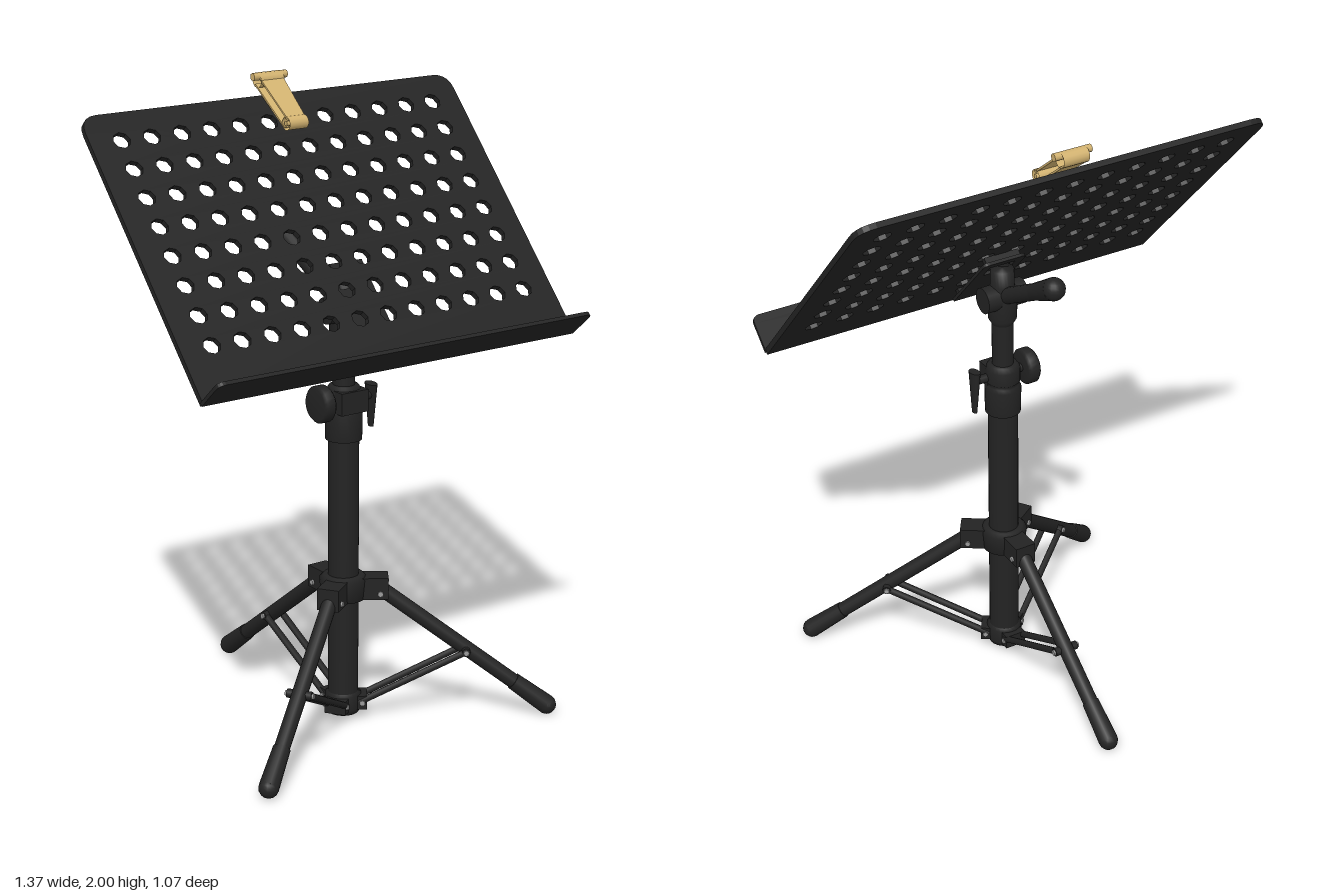
import * as THREE from 'three';

const black = new THREE.MeshStandardMaterial({ color: 0x232323, side: THREE.DoubleSide });
black.name = 'matte black';
const gold = new THREE.MeshStandardMaterial({ color: 0xd2b270, side: THREE.DoubleSide });
gold.name = 'pale brass';
const steel = new THREE.MeshStandardMaterial({ color: 0x9a9a9a });
steel.name = 'bolt steel';

const POLE_Z = 0.135;
const V = (x, y, z) => new THREE.Vector3(x, y, z);

function add(parent, name, geometry, material = black, pos = [0, 0, 0]) {
  const mesh = new THREE.Mesh(geometry, material);
  mesh.name = name;
  mesh.position.set(...pos);
  parent.add(mesh);
  return mesh;
}

// Round bar from a to b
function rod(parent, name, a, b, ra, rb = ra, material = black, sides = 16) {
  const mesh = add(parent, name, new THREE.CylinderGeometry(rb, ra, a.distanceTo(b), sides), material);
  mesh.position.copy(a).lerp(b, 0.5);
  mesh.quaternion.setFromUnitVectors(V(0, 1, 0), b.clone().sub(a).normalize());
  return mesh;
}

// Turned part from [radius, height] points
function turned(parent, name, points, pos = [0, 0, 0]) {
  return add(parent, name, new THREE.LatheGeometry(points.map(p => new THREE.Vector2(...p)), 24), black, pos);
}

// Plate outline with rounded far corners
function plateShape(halfWidth, length, r) {
  const s = new THREE.Shape();
  s.moveTo(-halfWidth, 0);
  s.lineTo(halfWidth, 0);
  s.lineTo(halfWidth, length - r);
  s.quadraticCurveTo(halfWidth, length, halfWidth - r, length);
  s.lineTo(-halfWidth + r, length);
  s.quadraticCurveTo(-halfWidth, length, -halfWidth, length - r);
  s.closePath();
  return s;
}

const extrude = (shape, depth) =>
  new THREE.ExtrudeGeometry(shape, { depth, bevelEnabled: false, curveSegments: 5 });

function makeDesk() {
  const desk = new THREE.Group();
  desk.name = 'desk';
  desk.position.set(0, 1.205, 0.395);
  desk.rotation.x = -0.735;

  // Perforated board
  const board = plateShape(0.685, 0.965, 0.06);
  for (let row = 0; row < 8; row++) {
    for (let col = 0; col < 12; col++) {
      const hole = new THREE.Path();
      const x = (col - 5.5) * 0.105, y = 0.17 + row * 0.1;
      for (let i = 0; i < 8; i++) {
        const a = -i * Math.PI / 4;
        const px = x + 0.029 * Math.cos(a), py = y + 0.027 * Math.sin(a);
        if (i) hole.lineTo(px, py); else hole.moveTo(px, py);
      }
      hole.closePath();
      board.holes.push(hole);
    }
  }
  add(desk, 'perforatedBoard', extrude(board, 0.018), black, [0, 0, -0.009]);

  // Ledge standing out from the lower edge
  const ledge = add(desk, 'ledge', extrude(plateShape(0.687, 0.12, 0.025), 0.012), black, [0, 0.006, 0]);
  ledge.rotation.x = Math.PI / 2;

  // Mounting bracket behind the board
  const bracket = plateShape(0.075, 0.29, 0.02);
  const slot = new THREE.Path();
  slot.moveTo(-0.045, 0.2);
  slot.lineTo(-0.045, 0.26);
  slot.lineTo(0.045, 0.26);
  slot.lineTo(0.045, 0.2);
  slot.closePath();
  bracket.holes.push(slot);
  add(desk, 'bracketPlate', extrude(bracket, 0.01), black, [0, 0.09, -0.038]);
  for (const y of [0.11, 0.36]) {
    add(desk, 'bracketSpacer', new THREE.BoxGeometry(0.12, 0.02, 0.025), black, [0, y, -0.02]);
  }
  return desk;
}

function makeClip() {
  const clip = new THREE.Group();
  clip.name = 'pageClip';
  const top = V(0, 1.972, -0.262), low = V(0, 1.858, -0.118);
  const along = low.clone().sub(top), length = along.length();
  clip.position.copy(top);
  clip.rotation.x = Math.atan2(-along.y, along.z);

  // Rolled ends
  for (const [z, r, width] of [[0, 0.024, 0.086], [length, 0.021, 0.07]]) {
    const roll = add(clip, 'rolledEnd', new THREE.CylinderGeometry(r, r, width, 14, 1, true), gold, [0, 0, z]);
    roll.rotation.z = Math.PI / 2;
  }
  rod(clip, 'hingePin', V(-0.062, 0.012, -0.004), V(0.062, 0.012, -0.004), 0.012, 0.012, gold, 10);
  rod(clip, 'jawPin', V(-0.036, 0, length), V(0.036, 0, length), 0.008, 0.008, gold, 8);

  // Tapered upper and lower leaves
  for (const y of [0.016, -0.016]) {
    const leaf = new THREE.Shape();
    leaf.moveTo(-0.042, 0);
    leaf.lineTo(0.042, 0);
    leaf.lineTo(0.033, length);
    leaf.lineTo(-0.033, length);
    const mesh = add(clip, 'leaf', extrude(leaf, 0.006), gold, [0, y, 0]);
    mesh.rotation.x = Math.PI / 2;
  }
  return clip;
}

function makeTripod() {
  const tripod = new THREE.Group();
  tripod.name = 'tripod';
  tripod.position.z = POLE_Z;

  turned(tripod, 'legCollar', [[0.045, 0.395], [0.07, 0.4], [0.075, 0.465], [0.062, 0.478], [0.045, 0.478]]);
  turned(tripod, 'baseCollar', [[0, 0.015], [0.05, 0.018], [0.057, 0.035], [0.057, 0.08], [0.045, 0.09]]);

  for (const angle of [0.975, -0.975, Math.PI]) {
    const leg = new THREE.Group();
    leg.name = 'leg';
    leg.rotation.y = angle;
    tripod.add(leg);

    // Hinge lug, leg tube and rubber foot
    add(leg, 'hingeLug', new THREE.BoxGeometry(0.07, 0.07, 0.1), black, [0, 0.436, 0.09]);
    const top = V(0, 0.432, 0.11), foot = V(0, 0.03, 0.645);
    rod(leg, 'legTube', top, foot, 0.024);
    const cuff = top.clone().lerp(foot, 0.8);
    rod(leg, 'rubberFoot', cuff, foot, 0.027, 0.031);
    add(leg, 'footTip', new THREE.SphereGeometry(0.031, 14, 10), black, foot.toArray());

    // Twin brace bars with end brackets
    for (const side of [-1, 1]) {
      rod(leg, 'braceBar', V(side * 0.028, 0.055, 0.05), V(side * 0.03, 0.222, 0.385), 0.011, 0.011, black, 8);
    }
    add(leg, 'braceFoot', new THREE.BoxGeometry(0.07, 0.045, 0.05), black, [0, 0.055, 0.05]);
    rod(leg, 'bracePin', V(-0.04, 0.222, 0.385), V(0.04, 0.222, 0.385), 0.014, 0.014, black, 10);

    // Bolt heads
    for (const side of [-1, 1]) {
      for (const [x, y, z] of [[0.04, 0.222, 0.385], [0.035, 0.42, 0.115], [0.035, 0.055, 0.06]]) {
        rod(leg, 'boltHead', V(side * x, y, z), V(side * (x + 0.006), y, z), 0.009, 0.009, steel, 8);
      }
    }
  }
  return tripod;
}

function makeColumn() {
  const column = new THREE.Group();
  column.name = 'column';
  column.position.z = POLE_Z;

  rod(column, 'lowerTube', V(0, 0.02, 0), V(0, 0.94, 0), 0.048, 0.048, black, 24);
  turned(column, 'clampSleeve', [[0.045, 0.915], [0.057, 0.918], [0.058, 1.005], [0.05, 1.015],
    [0.05, 1.025], [0.055, 1.03], [0.055, 1.075], [0.045, 1.09], [0.03, 1.092]]);
  rod(column, 'upperTube', V(0, 1.05, 0), V(0, 1.3, 0), 0.034, 0.034, black, 20);

  // Height clamp with knob and lever
  rod(column, 'clampScrew', V(-0.1, 1.045, 0.01), V(0.1, 1.045, 0.01), 0.014);
  add(column, 'clampBlock', new THREE.BoxGeometry(0.1, 0.07, 0.05), black, [0, 1.045, 0.035]);
  const knob = turned(column, 'clampKnob', [[0, -0.022], [0.05, -0.022], [0.058, -0.014],
    [0.058, 0.014], [0.05, 0.022], [0, 0.022]], [-0.093, 1.045, 0.01]);
  knob.rotation.z = Math.PI / 2;
  const lever = rod(column, 'clampLever', V(0.103, 0.94, 0), V(0.096, 1.08, 0.01), 0.007, 0.016);
  lever.scale.z = 1.6;

  // Tilting head and its pivot
  turned(column, 'tiltHead', [[0.034, 1.235], [0.045, 1.255], [0.047, 1.33], [0.038, 1.37], [0.037, 1.425], [0, 1.43]]);
  rod(column, 'tiltPivot', V(-0.07, 1.33, 0), V(0.07, 1.33, 0), 0.042);

  // Tilt handle with swollen grip
  const root = V(0, 1.335, -0.015), end = V(0, 1.497, -0.3);
  rod(column, 'handleShaft', root, end, 0.026, 0.027);
  rod(column, 'handleGrip', root.clone().lerp(end, 0.6), end, 0.026, 0.036);
  add(column, 'handleTip', new THREE.SphereGeometry(0.036, 16, 12), black, end.toArray());
  return column;
}

export function createModel() {
  const model = new THREE.Group();
  model.name = 'musicStand';
  model.add(makeTripod(), makeColumn(), makeDesk(), makeClip());
  return model;
}
